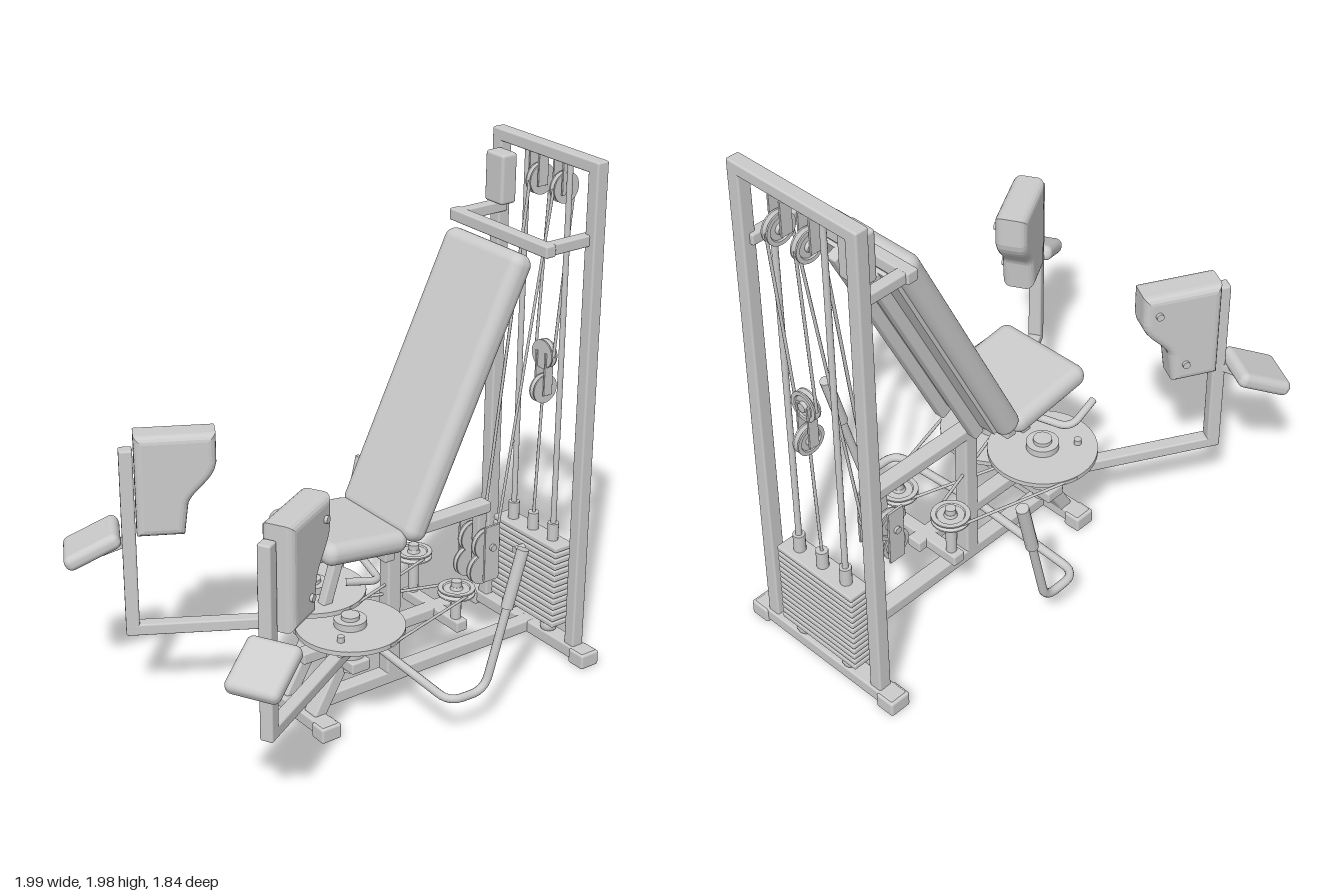
import * as THREE from 'three';
import { RoundedBoxGeometry } from 'three/addons/geometries/RoundedBoxGeometry.js';

const mat = new THREE.MeshStandardMaterial({ color: 0xcccccc });
const UP = new THREE.Vector3(0, 1, 0);
const V = (p) => new THREE.Vector3(...p);

function add(parent, name, geo, pos = [0, 0, 0], rot = [0, 0, 0]) {
  const m = new THREE.Mesh(geo, mat);
  m.name = name;
  m.position.set(...pos);
  m.rotation.set(...rot);
  parent.add(m);
  return m;
}
// Box-section bar between two points, in the parent's frame
function bar(parent, name, a, b, w, h = w) {
  const m = add(parent, name, new RoundedBoxGeometry(w, h, V(a).distanceTo(V(b)), 2, Math.min(w, h) * 0.15));
  m.position.copy(V(a).add(V(b)).multiplyScalar(0.5));
  m.quaternion.setFromRotationMatrix(new THREE.Matrix4().lookAt(V(b), V(a), UP));
}
// Round rod between two points
function rod(parent, name, a, b, r, seg = 12) {
  const d = V(b).sub(V(a));
  const m = add(parent, name, new THREE.CylinderGeometry(r, r, d.length(), seg));
  m.position.copy(V(a).add(V(b)).multiplyScalar(0.5));
  m.quaternion.setFromUnitVectors(UP, d.normalize());
}
// Bent tube: straight runs with rounded corners
function bentTube(parent, name, pts, r, bend = 0.06) {
  const path = new THREE.CurvePath();
  const p = pts.map(V);
  let from = p[0];
  for (let i = 1; i < p.length - 1; i++) {
    const a = p[i].clone().add(p[i - 1].clone().sub(p[i]).setLength(bend));
    const b = p[i].clone().add(p[i + 1].clone().sub(p[i]).setLength(bend));
    path.add(new THREE.LineCurve3(from, a));
    path.add(new THREE.QuadraticBezierCurve3(a, p[i], b));
    from = b;
  }
  path.add(new THREE.LineCurve3(from, p[p.length - 1]));
  add(parent, name, new THREE.TubeGeometry(path, 60, r, 10));
}
// Grooved pulley wheel, axis along y before rotation
function pulley(parent, name, r, t, pos, rot) {
  const prof = [[0, -t], [r, -t], [r, -t * 0.6], [r * 0.8, 0], [r, t * 0.6], [r, t], [r * 0.75, t],
    [r * 0.7, t * 0.6], [r * 0.35, t * 0.6], [r * 0.3, t * 1.5], [0, t * 1.5]];
  const pts = prof.flatMap((p, i) => (i ? [new THREE.Vector2(...prof[i - 1]).lerp(new THREE.Vector2(...p), 0.02),
    new THREE.Vector2(...p)] : [new THREE.Vector2(...p)]));
  add(parent, name, new THREE.LatheGeometry(pts, 28), pos, rot);
}

export function createModel() {
  const root = new THREE.Group();
  root.name = 'hipMachine';
  const g = new THREE.Group();
  g.name = 'machine';
  g.position.set(-0.03, 0, -0.04);
  g.rotation.y = -0.94;
  root.add(g);
  const R = -0.96; // rear frame plane
  const sideways = [0, 0, Math.PI / 2];

  // Base and rear weight frame
  bar(g, 'baseBeam', [0, 0.04, 0.14], [0, 0.04, R], 0.06, 0.05);
  bar(g, 'frontFoot', [-0.2, 0.038, 0.144], [0.2, 0.038, 0.144], 0.07, 0.05);
  bar(g, 'rearFoot', [-0.35, 0.038, R], [0.35, 0.038, R], 0.07, 0.05);
  for (const s of [-1, 1]) {
    bar(g, 'frontFootCap', [s * 0.14, 0.03, 0.144], [s * 0.21, 0.03, 0.144], 0.085, 0.06);
    bar(g, 'rearFootCap', [s * 0.28, 0.03, R], [s * 0.36, 0.03, R], 0.085, 0.06);
    bar(g, 'upright', [s * 0.26, 0.05, R], [s * 0.26, 1.98, R], 0.052);
    bar(g, 'headSideBar', [s * 0.24, 1.69, -0.75], [s * 0.24, 1.69, R], 0.042);
    bar(g, 'frontStrut', [s * 0.09, 0.05, 0.14], [s * 0.09, 0.24, 0.03], 0.07, 0.05);
  }
  bar(g, 'topBeam', [-0.28, 1.957, R], [0.28, 1.957, R], 0.052, 0.046);
  bar(g, 'headCrossbar', [-0.27, 1.69, -0.75], [0.27, 1.69, -0.75], 0.045);
  add(g, 'stopBox', new RoundedBoxGeometry(0.1, 0.19, 0.07, 2, 0.012), [-0.19, 1.82, -0.9]);

  // Central structure
  bar(g, 'column', [0, 0.05, -0.27], [0, 0.63, -0.27], 0.06);
  bar(g, 'lowerBeam', [0, 0.25, 0.14], [0, 0.25, -0.54], 0.06, 0.045);
  bar(g, 'pivotBeam', [-0.19, 0.25, 0], [0.19, 0.25, 0], 0.08, 0.045);
  bar(g, 'guideBeam', [-0.17, 0.25, -0.48], [0.17, 0.25, -0.48], 0.05, 0.045);
  bar(g, 'seatBeam', [0, 0.62, 0.02], [0, 0.62, -0.72], 0.06, 0.045);
  bar(g, 'seatCrossbar', [-0.13, 0.62, -0.17], [0.13, 0.62, -0.17], 0.045);
  bar(g, 'seatStrut', [0, 0.27, 0.08], [0, 0.64, -0.04], 0.04);
  bar(g, 'pulleyPost', [0, 0.62, -0.69], [0, 0.36, -0.69], 0.04);

  // Seat and backrest
  add(g, 'seat', new RoundedBoxGeometry(0.4, 0.085, 0.36, 5, 0.04), [0, 0.712, -0.03], [-0.12, 0, 0]);
  const back = new THREE.Group();
  back.name = 'backrest';
  back.position.set(0.01, 1.18, -0.455);
  back.rotation.x = -0.455;
  g.add(back);
  add(back, 'backCushion', new RoundedBoxGeometry(0.42, 1.09, 0.095, 5, 0.042));
  add(back, 'backBoard', new THREE.BoxGeometry(0.34, 1.0, 0.02), [0, 0, -0.052]);
  for (const s of [-1, 1]) bar(back, 'backRail', [s * 0.08, -0.54, -0.08], [s * 0.08, 0.5, -0.08], 0.045);

  for (const s of [-1, 1]) {
    // Side handles
    bentTube(g, 'sideHandle', [[0, 0.2, -0.19], [s * 0.46, 0.17, -0.19], [s * 0.46, 0.165, -0.35], [s * 0.48, 0.7, -0.49]], 0.016);
    rod(g, 'handleGrip', [s * 0.472, 0.48, -0.432], [s * 0.48, 0.7, -0.49], 0.023);
    bentTube(g, 'seatLever', [[s * 0.06, 0.63, -0.08], [s * 0.27, 0.63, -0.02], [s * 0.25, 0.66, 0.12]], 0.014, 0.05);

    // Cam discs on their pivots
    const camY = s > 0 ? 0.385 : 0.43;
    add(g, 'cam', new THREE.CylinderGeometry(0.2, 0.2, 0.018, 48), [s * 0.12, camY, 0]);
    add(g, 'camHub', new THREE.CylinderGeometry(0.06, 0.06, 0.05, 28), [s * 0.12, camY + 0.01, 0]);
    rod(g, 'pivotAxle', [s * 0.12, 0.21, 0], [s * 0.12, camY + 0.05, 0], 0.034, 24);
    rod(g, 'camStopPin', [s * 0.2, camY - 0.05, 0.1], [s * 0.2, camY + 0.03, 0.1], 0.014);
    // Drive cables from cam to guide pulley
    for (const e of [-1, 1])
      rod(g, 'driveCable', [s * 0.12 + e * 0.195, camY, -0.03], [s * 0.13 + e * 0.06, camY, -0.48], 0.006, 6);
    pulley(g, 'guidePulley', 0.07, 0.013, [s * 0.13, camY, -0.48]);
    rod(g, 'guideAxle', [s * 0.13, 0.26, -0.48], [s * 0.13, camY + 0.04, -0.48], 0.02);

    // Swinging leg arm
    const arm = new THREE.Group();
    arm.name = s > 0 ? 'leftArm' : 'rightArm';
    arm.position.x = s * 0.12;
    arm.rotation.y = s * 0.497;
    g.add(arm);
    const b = s * 0.012;
    rod(arm, 'armCollar', [0, 0.275, 0], [0, 0.35, 0], 0.055, 24);
    bar(arm, 'armBar', [0, 0.312, 0], [b, 0.312, 0.68], 0.05, 0.045);
    bar(arm, 'armPost', [b, 0.29, 0.657], [b, 1.03, 0.657], 0.05);
    // Thigh pad, wider at the top
    const sh = new THREE.Shape();
    sh.moveTo(0.48, 0.72);
    sh.lineTo(0.6, 0.72);
    sh.lineTo(0.6, 1.055);
    sh.lineTo(0.365, 1.055);
    sh.lineTo(0.365, 0.97);
    sh.bezierCurveTo(0.37, 0.91, 0.47, 0.87, 0.47, 0.8);
    sh.closePath();
    const pad = new THREE.ExtrudeGeometry(sh, { depth: 0.065, bevelThickness: 0.028, bevelSize: 0.028, bevelSegments: 4, curveSegments: 10 });
    pad.translate(0, 0, -0.0325).rotateY(-Math.PI / 2);
    add(arm, 'thighPad', pad, [s * 0.033, 0, 0]);
    for (const [y, z] of [[1.01, 0.39], [0.77, 0.5]])
      rod(arm, 'padBolt', [s * 0.08, y, z], [s * 0.105, y, z], 0.014);
    // Foot pad and bracket
    bar(arm, 'footBracket', [b, 0.67, 0.66], [s * 0.045, 0.61, 0.78], 0.045, 0.03);
    add(arm, 'footPad', new RoundedBoxGeometry(0.2, 0.06, 0.22, 4, 0.026), [s * 0.065, 0.642, 0.79], [0.46, 0, 0]);
  }

  // Weight stack with guide rods
  for (let i = 0; i < 14; i++)
    add(g, 'weightPlate', new RoundedBoxGeometry(0.37, 0.021, 0.09, 2, 0.006), [0, 0.115 + i * 0.0248, R]);
  for (const s of [-1, 1]) {
    rod(g, 'guideRod', [s * 0.115, 0.06, R], [s * 0.115, 1.94, R], 0.011);
    rod(g, 'rodCollar', [s * 0.115, 0.45, R], [s * 0.115, 0.52, R], 0.022);
    add(g, 'rubberStop', new THREE.SphereGeometry(0.034, 16, 12), [s * 0.115, 0.08, R]);
  }
  rod(g, 'stackCollar', [0, 0.45, R], [0, 0.52, R], 0.022);
  rod(g, 'selectorPin', [0, 0.38, R + 0.04], [0, 0.38, R + 0.09], 0.014);

  // Upper pulleys, cables and lower pulleys
  for (const s of [-1, 1]) {
    pulley(g, 'topPulley', 0.058, 0.014, [s * 0.065, 1.83, R - 0.02], sideways);
    for (const d of [-0.025, 0.025])
      bar(g, 'topPulleyBracket', [s * 0.065 + d, 1.81, R - 0.01], [s * 0.065 + d, 1.94, R - 0.01], 0.008, 0.045);
    rod(g, 'liftCable', [s * 0.05, 1.17, R - 0.02], [s * 0.065, 1.83, R - 0.07], 0.006, 6);
    rod(g, 'rearCable', [s * 0.065, 1.83, R + 0.03], [s * 0.04, 0.48, -0.74], 0.006, 6);
    bar(g, 'lowerBracket', [s * 0.075, 0.34, -0.69], [s * 0.075, 0.57, -0.69], 0.01, 0.07);
    for (const [y, z] of [[0.48, -0.69], [0.38, -0.67]])
      pulley(g, 'lowerPulley', 0.06, 0.013, [s * 0.04, y, z], sideways);
  }
  rod(g, 'lowerPulleyAxle', [-0.09, 0.48, -0.69], [0.09, 0.48, -0.69], 0.014);

  // Floating pulley pair
  pulley(g, 'floatingPulley', 0.056, 0.014, [0, 1.17, R - 0.02], [-Math.PI / 2, 0, 0]);
  pulley(g, 'floatingPulley', 0.056, 0.014, [0, 1.03, R - 0.02], sideways);
  for (const d of [-0.025, 0.025])
    bar(g, 'floatingBracket', [d, 1.01, R - 0.02], [d, 1.18, R - 0.02], 0.008, 0.04);
  rod(g, 'stackCable', [0, 0.5, R], [0, 1.03, R - 0.02], 0.006, 6);

  return root;
}
